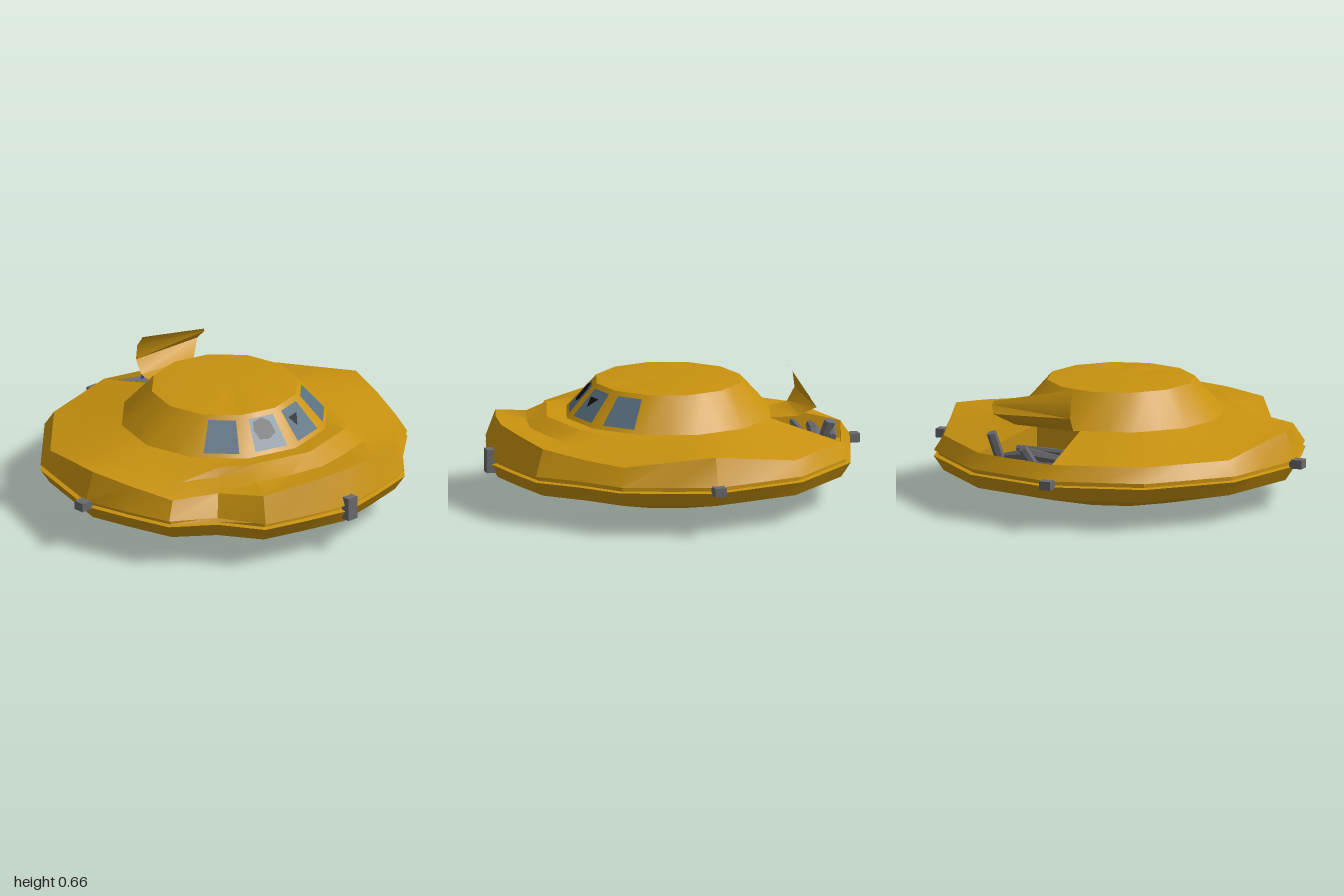
import * as THREE from 'three';
import { mergeVertices, toCreasedNormals } from 'three/addons/utils/BufferGeometryUtils.js';

const N = 24;        // twelve sides, each split at its middle
const CZ = 0.02;     // centre of the saucer in z
const mat = (color) => new THREE.MeshStandardMaterial({ color, side: THREE.DoubleSide });
const gold = mat(0xc8920f), glass = mat(0x5a7080), black = mat(0x111111), grey = mat(0x6a6a6e);
const lerp = THREE.MathUtils.lerp;

// Point k of a twelve-sided ring; odd points lie in the middle of a side
function ringPoint(k, r, y) {
  const a = (k / N) * Math.PI * 2;
  const rr = k % 2 ? r * Math.cos(Math.PI / 12) : r;
  return new THREE.Vector3(rr * Math.sin(a), y, CZ + rr * Math.cos(a));
}

function geometryFrom(points, index) {
  const g = new THREE.BufferGeometry();
  g.setAttribute('position', new THREE.Float32BufferAttribute(points.flatMap((p) => p.toArray()), 3));
  g.setIndex(index);
  return g;
}

// Buckled upper rim: height by steps from the front to the back
const rimHeights = [0.42, 0.41, 0.39, 0.35, 0.345, 0.375, 0.4, 0.365, 0.33, 0.33, 0.33, 0.33, 0.33];
const steps = (k) => Math.min(k % N, N - (k % N));
const frontness = (k) => Math.max(0, Math.min(1, (4 - steps(k)) / 2));

// Crushed corners at the front, deeper on the right
function dent(k, r, weight) {
  const i = k % N;
  const depth = i === 21 ? 0.09 : i === 20 ? 0.02 : i === 3 ? 0.03 : i === 4 ? 0.01 : i === 0 ? 0.02 : 0;
  return r - depth * weight;
}

const RIM = 7, BASE = 10, TOP = 11;
const rings = [
  () => [0.001, 0.005],
  () => [0.375, 0.02],
  (k) => [dent(k, 0.9, 0.5), 0.15],
  (k) => [dent(k, 0.95, 0.6), 0.225],
  (k) => [dent(k, 0.925, 0.6), 0.23],
  (k) => [dent(k, 0.925, 0.8), 0.25],
  (k) => [dent(k, 0.95, 0.8), 0.255],
  (k) => [dent(k, 0.9, 1.3), rimHeights[steps(k)]],
  (k) => [dent(k, 0.74, 0.8), lerp(lerp(rimHeights[steps(k)], 0.43, 0.43), 0.395, frontness(k))],
  (k) => [0.635, lerp(lerp(rimHeights[steps(k)], 0.43, 0.72), 0.447, frontness(k))],
  () => [0.53, 0.432],
  () => [0.375, 0.603],
  (k) => [0.19, 0.62 - 0.012 * (steps(k) === 2 ? 1 : 0)],
  () => [0.001, 0.618],
];
const at = (j, k) => ringPoint(k % N, ...rings[j](k % N));

function hullGeometry() {
  const points = [], index = [];
  rings.forEach((_, j) => { for (let k = 0; k < N; k++) points.push(at(j, k)); });
  for (let j = 0; j < rings.length - 1; j++) {
    for (let k = 0; k < N; k++) {
      // opening of the rear hatch
      if (j >= RIM && j < BASE && (k === 10 || k === 11)) continue;
      const a = j * N + k, b = j * N + ((k + 1) % N);
      index.push(a, b, b + N, a, b + N, a + N);
    }
  }
  return toCreasedNormals(mergeVertices(geometryFrom(points, index)), 0.5);
}

// Strip of surface between cross-sections with the same number of points
function strip(sections) {
  const m = sections[0].length, index = [];
  for (let s = 0; s < sections.length - 1; s++) {
    for (let i = 0; i < m - 1; i++) {
      const a = s * m + i;
      index.push(a, a + 1, a + m + 1, a, a + m + 1, a + m);
    }
  }
  return toCreasedNormals(geometryFrom(sections.flat(), index), 0.5);
}

// Flat patch on a cabin face; u runs away from the front centre, v upwards
function cabinPatch(side, sector, outline, lift) {
  const p = (j, k) => at(j, k).multiply(new THREE.Vector3(side, 1, 1));
  const b0 = p(BASE, sector * 2), b1 = p(BASE, sector * 2 + 2);
  const t0 = p(TOP, sector * 2), t1 = p(TOP, sector * 2 + 2);
  const normal = b1.clone().sub(b0).cross(t0.clone().sub(b0)).normalize().multiplyScalar(side * lift);
  const points = outline.map(([u, v]) => b0.clone().lerp(b1, u).lerp(t0.clone().lerp(t1, u), v).add(normal));
  const index = [];
  for (let i = 1; i < points.length - 1; i++) {
    index.push(...(side > 0 ? [0, i, i + 1] : [0, i + 1, i]));
  }
  const g = geometryFrom(points, index);
  g.computeVertexNormals();
  return g;
}

function beamGeometry(a, b, r0, r1) {
  const d = b.clone().sub(a);
  const g = new THREE.CylinderGeometry(r1, r0, d.length(), 6).toNonIndexed();
  g.computeVertexNormals();
  g.applyQuaternion(new THREE.Quaternion().setFromUnitVectors(new THREE.Vector3(0, 1, 0), d.clone().normalize()));
  const c = a.clone().add(b).multiplyScalar(0.5);
  return g.translate(c.x, c.y, c.z);
}

export function createModel() {
  const model = new THREE.Group();
  const add = (name, geometry, material) => {
    const mesh = new THREE.Mesh(geometry, material);
    mesh.name = name;
    model.add(mesh);
    return mesh;
  };
  const V = (x, y, z) => new THREE.Vector3(x, y, z);

  add('hull', hullGeometry(), gold);

  // Four cabin windows, the two in the middle broken
  const pane = [[0.14, 0.1], [0.82, 0.1], [0.82, 0.87], [0.14, 0.87]];
  for (const side of [1, -1]) {
    for (const sector of [0, 1]) add('window', cabinPatch(side, sector, pane, 0.003), glass);
  }
  add('brokenPane', cabinPatch(-1, 0, [[0.3, 0.72], [0.27, 0.45], [0.45, 0.33], [0.66, 0.36], [0.76, 0.6],
    [0.72, 0.78], [0.48, 0.85]], 0.006), black);
  add('brokenPane', cabinPatch(1, 0, [[0.24, 0.66], [0.36, 0.4], [0.58, 0.66]], 0.006), black);

  // Rear hatch: walled bay, bent lid and broken machinery
  const loop = [at(RIM, 12), at(RIM, 10), at(BASE, 10), at(BASE, 12), at(RIM, 12)];
  const low = loop.map((p) => V(p.x, 0.24, p.z));
  add('hatchWalls', strip([low, loop]), gold);
  add('hatchFloor', strip([[low[0], low[1]], [low[3], low[2]]]), gold);
  add('hatchLid', strip([
    [V(0, 0.432, -0.51), V(0.265, 0.432, -0.44)],
    [V(0, 0.45, -0.6), V(0.33, 0.45, -0.57)],
    [V(0, 0.52, -0.64), V(0.42, 0.51, -0.64)],
    [V(0, 0.6, -0.63), V(0.44, 0.55, -0.61)],
    [V(0, 0.66, -0.59), V(0.43, 0.57, -0.6)],
  ]), gold);
  const beams = [
    [V(0, 0.31, -0.83), V(0.22, 0.3, -0.78), 0.022, 0.018],
    [V(0, 0.32, -0.72), V(0.2, 0.33, -0.69), 0.022, 0.034],
    [V(0.2, 0.33, -0.69), V(0.37, 0.3, -0.65), 0.034, 0.014],
    [V(0, 0.34, -0.63), V(0.3, 0.34, -0.61), 0.018, 0.018],
    [V(0.36, 0.25, -0.66), V(0.4, 0.43, -0.71), 0.026, 0.026],
    [V(0.14, 0.26, -0.73), V(0.2, 0.38, -0.78), 0.024, 0.024],
  ];
  for (const b of beams) add('machineryBeam', beamGeometry(...b), grey);

  // Clamps over the rim seam
  const clamps = [
    [0.07, 0.045, 0.06, 0.965, 0.24, CZ],
    [0.07, 0.045, 0.06, -0.965, 0.24, CZ],
    [0.06, 0.045, 0.07, 0, 0.24, -0.94],
    [0.06, 0.12, 0.055, 0, 0.24, 0.948],
  ];
  for (const [w, h, d, x, y, z] of clamps) {
    add('rimClamp', new THREE.BoxGeometry(w, h, d), grey).position.set(x, y, z);
  }
  return model;
}
